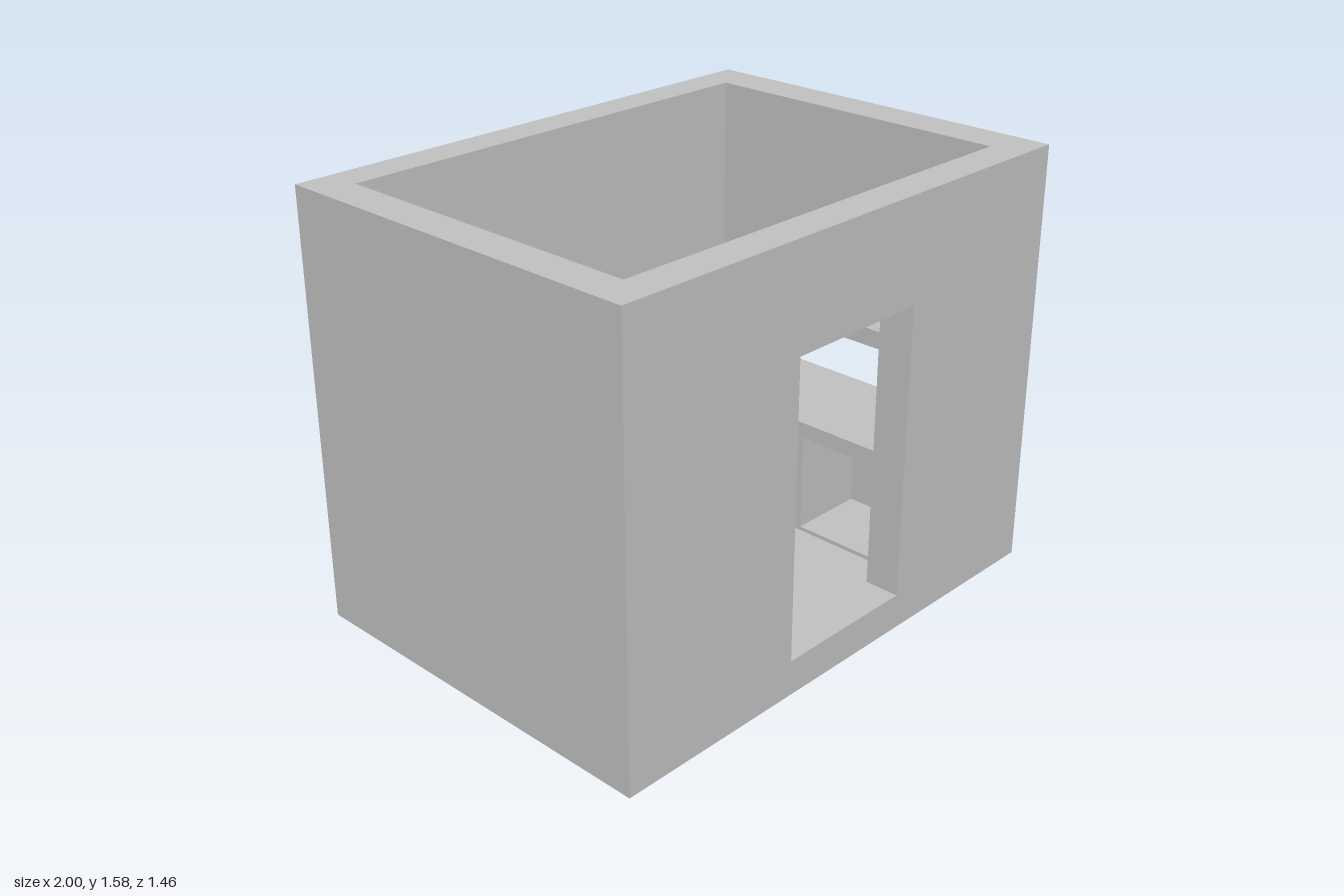
import * as THREE from 'three';

const H = 1.575, W = 1, D = 0.73;                  // overall height, half width, half depth
const IN = { x0: -0.865, x1: 0.845, z: 0.6 };      // room interior
const FLOOR = 0.03;

export function createModel() {
  const group = new THREE.Group();
  const grey = new THREE.MeshStandardMaterial({ color: 0xc0c0c0 });
  grey.name = 'plain grey';

  // box given by its extents on each axis
  function box(name, [x0, x1], [y0, y1], [z0, z1]) {
    const mesh = new THREE.Mesh(new THREE.BoxGeometry(x1 - x0, y1 - y0, z1 - z0), grey);
    mesh.position.set((x0 + x1) / 2, (y0 + y1) / 2, (z0 + z1) / 2);
    mesh.name = name;
    group.add(mesh);
    return mesh;
  }

  // upright slab in the xy plane with one rectangular opening
  function wall(name, half, thickness, [a0, a1], [b0, b1]) {
    const shape = new THREE.Shape([
      new THREE.Vector2(-half, 0), new THREE.Vector2(half, 0),
      new THREE.Vector2(half, H), new THREE.Vector2(-half, H)]);
    shape.holes.push(new THREE.Path([
      new THREE.Vector2(a0, b0), new THREE.Vector2(a0, b1),
      new THREE.Vector2(a1, b1), new THREE.Vector2(a1, b0)]));
    const mesh = new THREE.Mesh(
      new THREE.ExtrudeGeometry(shape, { depth: thickness, bevelEnabled: false }), grey);
    mesh.name = name;
    group.add(mesh);
    return mesh;
  }

  // shell: floor and four walls
  box('floor', [IN.x0, IN.x1], [0, FLOOR], [-IN.z, IN.z]);
  wall('frontWall', W, D - IN.z, [-0.27, 0.285], [0.13, 1.2]).position.z = IN.z;
  wall('backWall', W, D - IN.z, [-0.22, 0.22], [FLOOR, 0.94]).position.z = -D;
  const leftWall = wall('leftWall', IN.z, W - IN.x1, [-0.35, 0.335], [0.47, 0.815]);
  leftWall.rotation.y = Math.PI / 2;
  leftWall.position.x = IN.x1;
  box('rightWall', [-W, IN.x0], [0, H], [-IN.z, IN.z]);

  // shelving along the right wall
  const shelfX = [IN.x0, -0.6];
  box('shelfTop', shelfX, [0.888, 0.908], [-IN.z, IN.z]);
  for (const y of [0.645, 0.368]) box('shelf', shelfX, [y - 0.02, y], [-0.205, 0.575]);
  box('shelfBase', shelfX, [FLOOR, 0.095], [-0.205, 0.575]);
  for (const z of [-0.23, 0.575]) box('shelfSide', shelfX, [FLOOR, 0.888], [z, z + 0.025]);
  box('lowPlatform', [IN.x0, -0.56], [FLOOR, 0.135], [-IN.z, -0.23]);

  // L-shaped counter on open carcasses
  const runX = [0.54, IN.x1], legX = [0.22, 0.54], legZ = [-IN.z, -0.38];
  box('counterTop', runX, [0.42, 0.48], [-IN.z, IN.z]);
  box('counterReturnTop', legX, [0.445, 0.48], legZ);
  box('counterReturnRail', legX, [0.42, 0.445], legZ);
  box('counterBase', runX, [FLOOR, 0.045], [-IN.z, IN.z]);
  box('counterReturnBase', legX, [FLOOR, 0.045], legZ);
  box('counterReturnEnd', [0.22, 0.245], [FLOOR, 0.42], legZ);
  for (const z of [-0.405, 0.06, 0.575]) box('counterPartition', runX, [0.045, 0.42], [z, z + 0.025]);

  // upper shelf above the window, with a small cabinet beneath its back end
  box('upperShelf', [0.575, IN.x1], [0.855, 0.92], [-IN.z, IN.z]);
  box('upperCabinet', [0.56, IN.x1], [0.64, 0.855], [-IN.z, -0.34]);

  return group;
}
